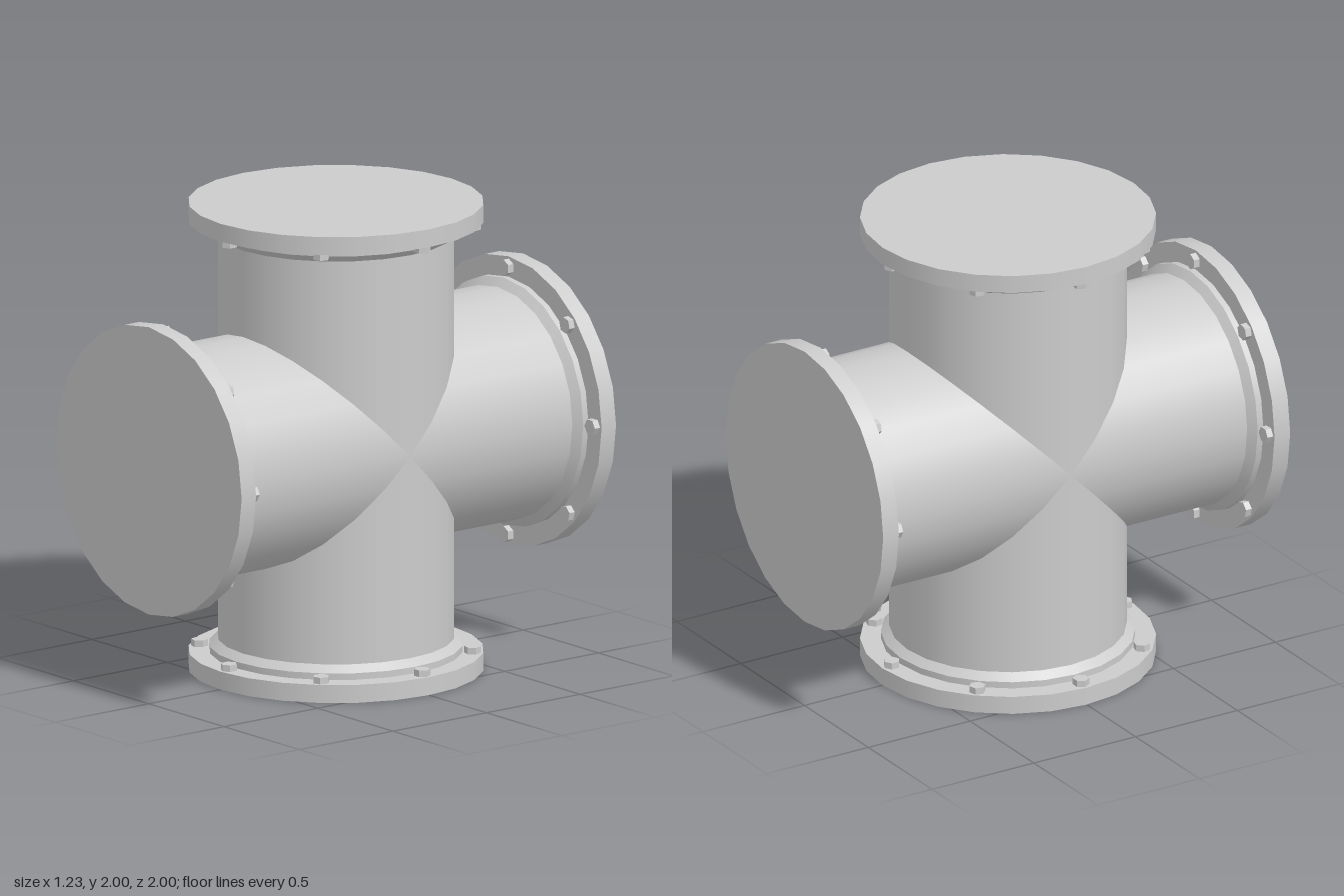
import * as THREE from 'three';

const SIDES = 24;
const smooth = new THREE.MeshStandardMaterial({ color: 0xcccccc });
const faceted = new THREE.MeshStandardMaterial({ color: 0xcccccc, flatShading: true });

// Cylinder or cone section standing between heights y0 and y1
function section(name, rBottom, rTop, y0, y1, open = false) {
  const geo = new THREE.CylinderGeometry(rTop, rBottom, y1 - y0, SIDES, 1, open);
  geo.translate(0, (y0 + y1) / 2, 0);
  const mesh = new THREE.Mesh(geo, smooth);
  mesh.name = name;
  return mesh;
}

// One arm of the cross, pointing along +y from the centre
function createArm(name) {
  const arm = new THREE.Group();
  arm.name = name;
  arm.add(
    section('pipe', 0.495, 0.495, 0, 0.93, true),
    section('collarCone', 0.495, 0.53, 0.865, 0.895, true),
    section('collarRing', 0.53, 0.53, 0.895, 0.93),
    section('flange', 0.617, 0.617, 0.923, 1),
  );

  // Eight hexagonal bolt heads on the inner face of the flange
  const boltGeo = new THREE.CylinderGeometry(0.035, 0.035, 0.035, 6);
  boltGeo.translate(0, 0.9125, 0.572);
  for (let i = 0; i < 8; i++) {
    const bolt = new THREE.Mesh(boltGeo, faceted);
    bolt.name = 'bolt';
    bolt.rotation.y = (i * Math.PI) / 4;
    arm.add(bolt);
  }
  return arm;
}

export function createModel() {
  const model = new THREE.Group();
  model.name = 'pipeCross';
  const names = ['topArm', 'frontArm', 'bottomArm', 'backArm'];
  names.forEach((name, i) => {
    const arm = createArm(name);
    arm.position.y = 1;
    arm.rotation.x = (i * Math.PI) / 2;
    model.add(arm);
  });
  return model;
}
